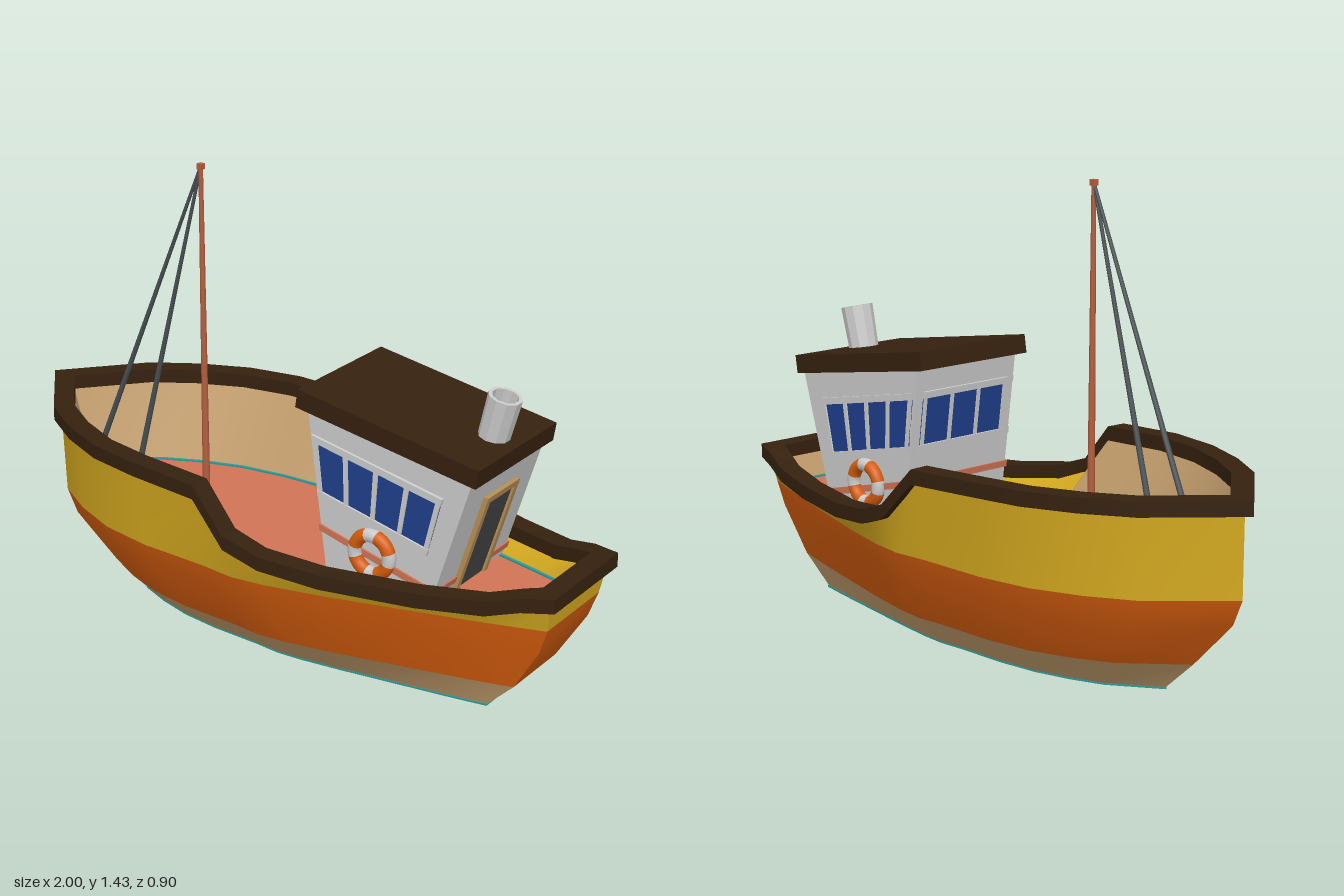
import * as THREE from 'three';
import { toCreasedNormals } from 'three/addons/utils/BufferGeometryUtils.js';

const V = (x, y, z) => new THREE.Vector3(x, y, z);
const lerp = THREE.MathUtils.lerp;
const C = {
  beige: 0xc6a06e, orange: 0xd85e0e, yellow: 0xd3a81f, wood: 0x35210f, deck: 0xd07455,
  teal: 0x2f9a9a, glass: 0x1f3f8c, door: 0x444444, trim: 0xb88f55, white: 0xf0f0f0, rope: 0x4a5254, mast: 0xb55f40,
};

// Hull stations from bow to stern: [fraction of length, relative half width, sheer height]
const stations = [
  [0, 0, 0.62], [0.1, 0.52, 0.62], [0.17, 0.72, 0.62], [0.25, 0.875, 0.62], [0.34, 0.95, 0.62],
  [0.46, 0.97, 0.61], [0.52, 1, 0.485], [0.577, 0.965, 0.445], [0.67, 0.86, 0.42], [0.81, 0.67, 0.41],
  [0.91, 0.53, 0.418], [0.96, 0.455, 0.445], [1, 0.39, 0.455],
];

// Closed outline at one level; y null follows the sheer
function outline(bow, stern, width, sternFrac, y) {
  const side = stations.map(([s, f, top]) =>
    V(lerp(bow, stern, s), y ?? top, width * (f + (sternFrac - 0.39) * s * s)));
  const other = side.slice(1).reverse().map((p) => V(p.x, p.y, -p.z));
  return [...side, ...other];
}

// Mitred horizontal offset of a closed outline
function offset(ring, d, dy = 0) {
  const n = ring.length;
  const normal = (a, b) => V(a.z - b.z, 0, b.x - a.x).normalize();
  return ring.map((p, i) => {
    const a = normal(ring[(i + n - 1) % n], p), b = normal(p, ring[(i + 1) % n]);
    const m = a.clone().add(b).multiplyScalar(d / (1 + a.dot(b)));
    return V(p.x + m.x, p.y + dy, p.z + m.z);
  });
}

// Surface through a stack of closed rings
function skin(rings, crease = 0.45, keep = () => true) {
  const pos = [];
  for (let r = 0; r < rings.length - 1; r++) {
    const A = rings[r], B = rings[r + 1], n = A.length;
    for (let i = 0; i < n; i++) {
      if (!keep(i, n)) continue;
      const j = (i + 1) % n;
      for (const p of [A[i], A[j], B[j], A[i], B[j], B[i]]) pos.push(p.x, p.y, p.z);
    }
  }
  const g = new THREE.BufferGeometry();
  g.setAttribute('position', new THREE.Float32BufferAttribute(pos, 3));
  g.computeVertexNormals();
  return toCreasedNormals(g, crease);
}

function add(parent, name, geo, color = 0xcccccc, side = THREE.FrontSide) {
  const mesh = new THREE.Mesh(geo, new THREE.MeshStandardMaterial({ color, side }));
  mesh.name = name;
  parent.add(mesh);
  return mesh;
}

// Rectangular rail running around an outline
function rail(ring, out, inn, h) {
  const a = offset(ring, out, -h);
  return skin([a, offset(ring, out), offset(ring, -inn), offset(ring, -inn, -h), a], 0.3);
}

// Thin rod between two points
function rod(parent, name, a, b, r0, r1, color) {
  const d = b.clone().sub(a);
  const m = add(parent, name, new THREE.CylinderGeometry(r1, r0, d.length(), 8), color);
  m.position.copy(a).addScaledVector(d, 0.5);
  m.quaternion.setFromUnitVectors(V(0, 1, 0), d.normalize());
}

function buildHull(parent) {
  const hull = new THREE.Group();
  hull.name = 'hull';
  parent.add(hull);
  const flat = (ring) => ring.map((p) => V(p.x, p.y, 0));
  const keel = outline(-0.68, 0.74, 0.195, 0.53, 0);
  const low = outline(-0.79, 0.84, 0.295, 0.41, 0.1);
  const mid = outline(-0.935, 0.93, 0.378, 0.37, 0.25);
  const belt = outline(-0.968, 0.957, 0.403, 0.37, 0.33);
  const top = outline(-0.974, 0.975, 0.43, 0.39, null);
  const deck = outline(-0.86, 0.905, 0.29, 0.4, 0.33);
  add(hull, 'bottom', skin([flat(keel), keel]), C.beige);
  add(hull, 'lowerHull', skin([keel, low]), C.beige);
  add(hull, 'middleHull', skin([low, mid, belt]), C.orange);
  add(hull, 'upperHull', skin([belt, offset(top, -0.004, -0.04)]), C.yellow);
  // Bulwark lining: painted along the low aft sides, plain elsewhere
  const lining = [offset(top, -0.04, -0.04), deck];
  const aft = (i, n) => { const k = Math.min(i, n - 1 - i); return k >= 6 && k < 12; };
  add(hull, 'bulwarkLining', skin(lining, 0.45, (i, n) => !aft(i, n)), C.beige);
  add(hull, 'aftBulwarkLining', skin(lining, 0.45, aft), C.yellow);
  add(hull, 'deck', skin([deck, flat(deck)]), C.deck);
  add(hull, 'gunwale', rail(top, 0.02, 0.045, 0.045), C.wood);
  add(hull, 'deckEdge', rail(offset(deck, 0, 0.006), 0.004, 0.006, 0.01), C.teal);
  add(hull, 'keelEdge', rail(offset(keel, 0, 0.006), 0.005, 0.006, 0.006), C.teal);
}

function buildCabin(parent) {
  const cabin = new THREE.Group();
  cabin.name = 'cabin';
  parent.add(cabin);
  const W = 0.2;
  // Profile of the raked cabin, u from bow to stern and v upward; it never goes below the deck
  const P = (u, v, z) => V(
    lerp(lerp(0.235, 0.57, u), lerp(0.165, 0.73, u), v),
    Math.max(0.325, lerp(0.33, 0.85, v) - 0.1 * u), z);
  const ring = (v) => [P(0, v, W), P(1, v, W), P(1, v, -W), P(0, v, -W)];
  add(cabin, 'cabinWalls', skin([ring(0), ring(0.2), ring(1)], 0.1));

  // Each wall maps (u, v, outward distance) to a point
  const walls = {
    left: (u, v, d) => P(u, v, W + d),
    right: (u, v, d) => P(1 - u, v, -W - d),
    fore: (u, v, d) => P(0, v, lerp(-W, W, u)).add(V(-d, 0, 0)),
    aft: (u, v, d) => P(1, v, lerp(W, -W, u)).add(V(d, 0, 0)),
  };
  const panel = (name, wall, u0, u1, v0, v1, d, color) => {
    const r = (e) => [wall(u0, v0, e), wall(u1, v0, e), wall(u1, v1, e), wall(u0, v1, e)];
    const face = r(d);
    const mid = face.reduce((s, p) => s.add(p), V(0, 0, 0)).multiplyScalar(0.25);
    add(cabin, name, skin([r(-0.002), face, face.map(() => mid)], 0.1), color);
  };
  const windows = (wall, u0, u1, count) => {
    const v0 = 0.48, v1 = 0.81, t = 0.03, step = (u1 - u0 - t) / count;
    panel('windowGlass', wall, u0, u1, v0, v1, 0.003, C.glass);
    panel('windowSill', wall, u0 - 0.005, u1 + 0.005, v0 - 0.02, v0 + 0.02, 0.01);
    panel('windowHead', wall, u0 - 0.005, u1 + 0.005, v1 - 0.025, v1 + 0.015, 0.01);
    for (let i = 0; i <= count; i++) {
      panel('windowPost', wall, u0 + i * step, u0 + i * step + t, v0, v1, 0.008);
    }
  };
  windows(walls.left, 0.02, 0.87, 4);
  windows(walls.right, 0.13, 0.98, 4);
  windows(walls.fore, 0.08, 0.92, 3);
  for (const w of Object.values(walls)) panel('stripe', w, -0.01, 1.01, 0.245, 0.285, 0.006, C.deck);

  // Doorway in the aft wall
  panel('doorFrame', walls.aft, 0.28, 0.33, 0.19, 0.81, 0.016, C.trim);
  panel('doorFrame', walls.aft, 0.67, 0.72, 0.19, 0.81, 0.016, C.trim);
  panel('doorFrame', walls.aft, 0.28, 0.72, 0.77, 0.81, 0.016, C.trim);
  panel('door', walls.aft, 0.33, 0.67, 0.19, 0.77, 0.008, C.door);

  const roof = add(cabin, 'roof', new THREE.BoxGeometry(0.622, 0.058, 0.43), C.wood);
  roof.position.set(0.446, 0.814, 0.003);
  roof.rotation.z = -0.16;

  // Hollow funnel
  const profile = [[0.047, 0], [0.051, 0.15], [0.04, 0.15], [0.038, 0.03], [0, 0.03]];
  const funnelGeo = new THREE.LatheGeometry(profile.map(([x, y]) => new THREE.Vector2(x, y)), 10);
  const funnel = add(cabin, 'funnel', toCreasedNormals(funnelGeo, 0.5), 0xcccccc, THREE.DoubleSide);
  funnel.position.set(0.672, 0.79, 0.003);
  funnel.rotation.z = -0.25;

  // Life rings with four pale bands, one on each side
  for (const s of [1, -1]) {
    const ringGroup = new THREE.Group();
    ringGroup.name = 'lifeRing';
    for (let i = 0; i < 4; i++) {
      for (const [start, arc, color] of [[0.3, 1.0, C.orange], [1.3, Math.PI / 2 - 1, C.white]]) {
        const part = add(ringGroup, 'ringSegment', new THREE.TorusGeometry(0.06, 0.021, 10, 6, arc), color);
        part.rotation.z = start + i * Math.PI / 2;
      }
    }
    ringGroup.position.set(0.405, 0.437, s * 0.213);
    cabin.add(ringGroup);
  }
}

function buildMast(parent) {
  const z = 0.016;
  const head = V(-0.36, 1.425, z);
  rod(parent, 'mast', V(-0.36, 0.33, z), head, 0.012, 0.007, C.mast);
  add(parent, 'mastCap', new THREE.BoxGeometry(0.018, 0.018, 0.018), C.mast).position.copy(head);
  for (const x of [-0.84, -0.66]) rod(parent, 'stay', V(x, 0.33, 0), head, 0.01, 0.005, C.rope);
}

export function createModel() {
  const boat = new THREE.Group();
  boat.name = 'fishingBoat';
  const body = new THREE.Group();
  body.name = 'boatBody';
  body.rotation.y = -0.02;
  boat.add(body);
  buildHull(body);
  buildCabin(body);
  buildMast(body);
  return boat;
}
